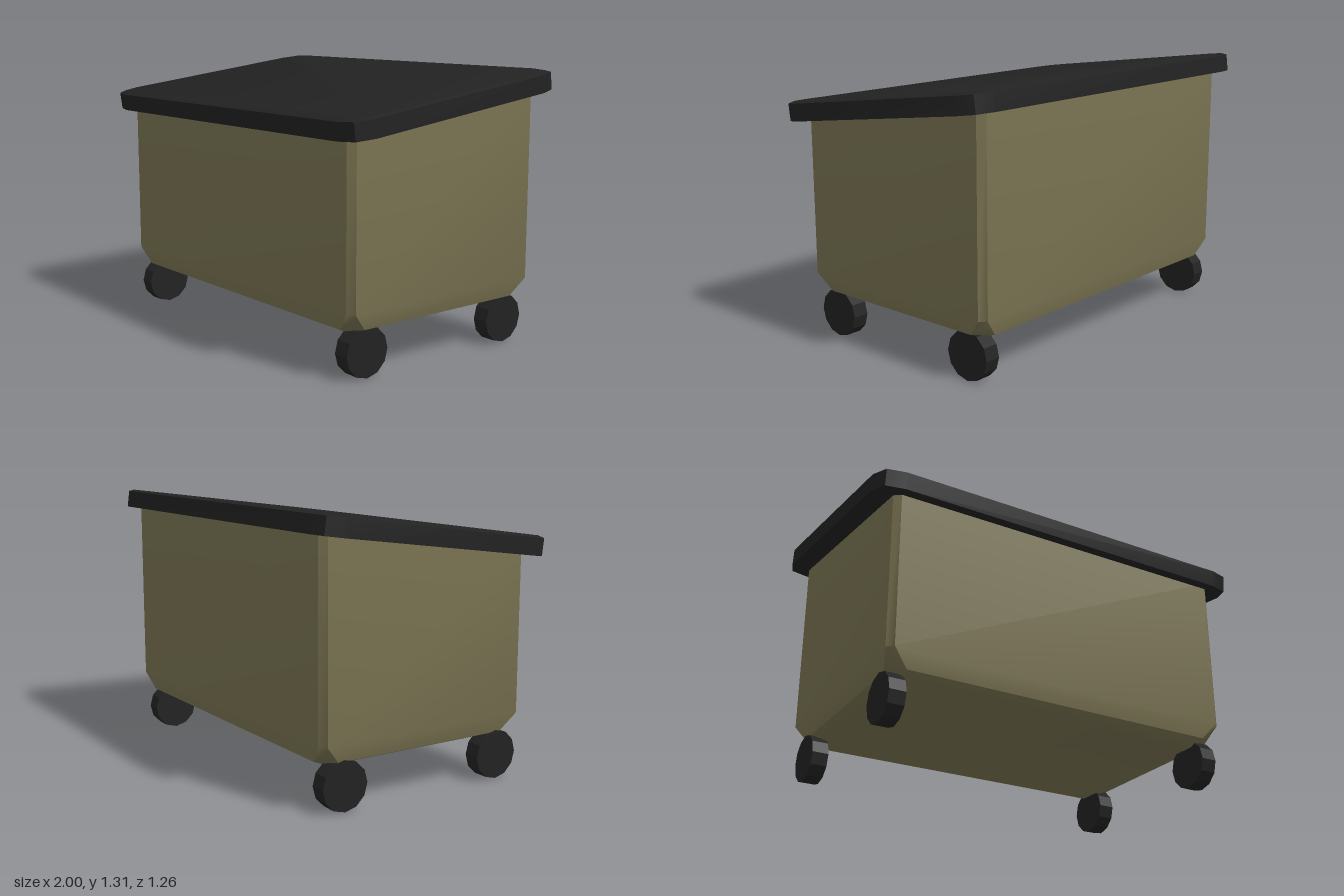
import * as THREE from 'three';
import { toCreasedNormals } from 'three/addons/utils/BufferGeometryUtils.js';

const LID_TILT = 0.131;
const LID_Y = 1.138;

// Mirror the +x +z corner points [x, z] into a full loop; height is a function of z
function ring(corner, height) {
  const back = [...corner].reverse();
  return [
    ...corner,
    ...back.map(([x, z]) => [-x, z]),
    ...corner.map(([x, z]) => [-x, -z]),
    ...back.map(([x, z]) => [x, -z]),
  ].map(([x, z]) => [x, height(z), z]);
}

// Skin rings from bottom to top and cap both ends
function loft(rings) {
  const n = rings[0].length;
  const top = (rings.length - 1) * n;
  const index = [];
  for (let r = 0; r < rings.length - 1; r++) {
    for (let i = 0; i < n; i++) {
      const a = r * n + i, b = r * n + (i + 1) % n;
      index.push(a, a + n, b, b, a + n, b + n);
    }
  }
  for (let i = 1; i < n - 1; i++) {
    index.push(0, i, i + 1, top, top + i + 1, top + i);
  }
  const geometry = new THREE.BufferGeometry();
  geometry.setAttribute('position', new THREE.Float32BufferAttribute(rings.flat(2), 3));
  geometry.setIndex(index);
  return toCreasedNormals(geometry, 0.7);
}

export function createModel() {
  const model = new THREE.Group();
  model.name = 'wheeledBin';
  const olive = new THREE.MeshStandardMaterial({ name: 'olive', color: 0x7a7452 });
  const black = new THREE.MeshStandardMaterial({ name: 'black', color: 0x222222 });

  const add = (name, geometry, material) => {
    const mesh = new THREE.Mesh(geometry, material);
    mesh.name = name;
    model.add(mesh);
    return mesh;
  };

  // Bin body: chamfered corners, tapered foot, sloped rim hidden in the lid
  const wall = [[0.9, 0.535], [0.87, 0.565]];
  add('body', loft([
    ring([[0.8, 0.46], [0.79, 0.47]], () => 0.197),
    ring([[0.87, 0.46], [0.8, 0.54]], () => 0.225),
    ring(wall, () => 0.31),
    ring(wall, (z) => LID_Y + 0.03 - z * Math.tan(LID_TILT)),
  ]), olive);

  // Lid: tilted slab with clipped corners and a slight top bevel
  const outline = [[1, 0.52], [0.97, 0.605], [0.88, 0.63]];
  const inset = outline.map(([x, z]) => [x - 0.02, z - 0.02]);
  const lid = add('lid', loft([
    ring(outline, () => 0),
    ring(outline, () => 0.083),
    ring(inset, () => 0.093),
  ]), black);
  lid.position.y = LID_Y;
  lid.rotation.x = LID_TILT;

  // Four wheels
  const wheel = toCreasedNormals(
    new THREE.CylinderGeometry(0.117, 0.117, 0.08, 12).rotateZ(Math.PI / 2), 0.4);
  for (const [side, x] of [['left', 0.82], ['right', -0.84]]) {
    for (const [end, z] of [['Front', 0.434], ['Back', -0.43]]) {
      add(`${side}${end}Wheel`, wheel, black).position.set(x, 0.117, z);
    }
  }

  return model;
}
